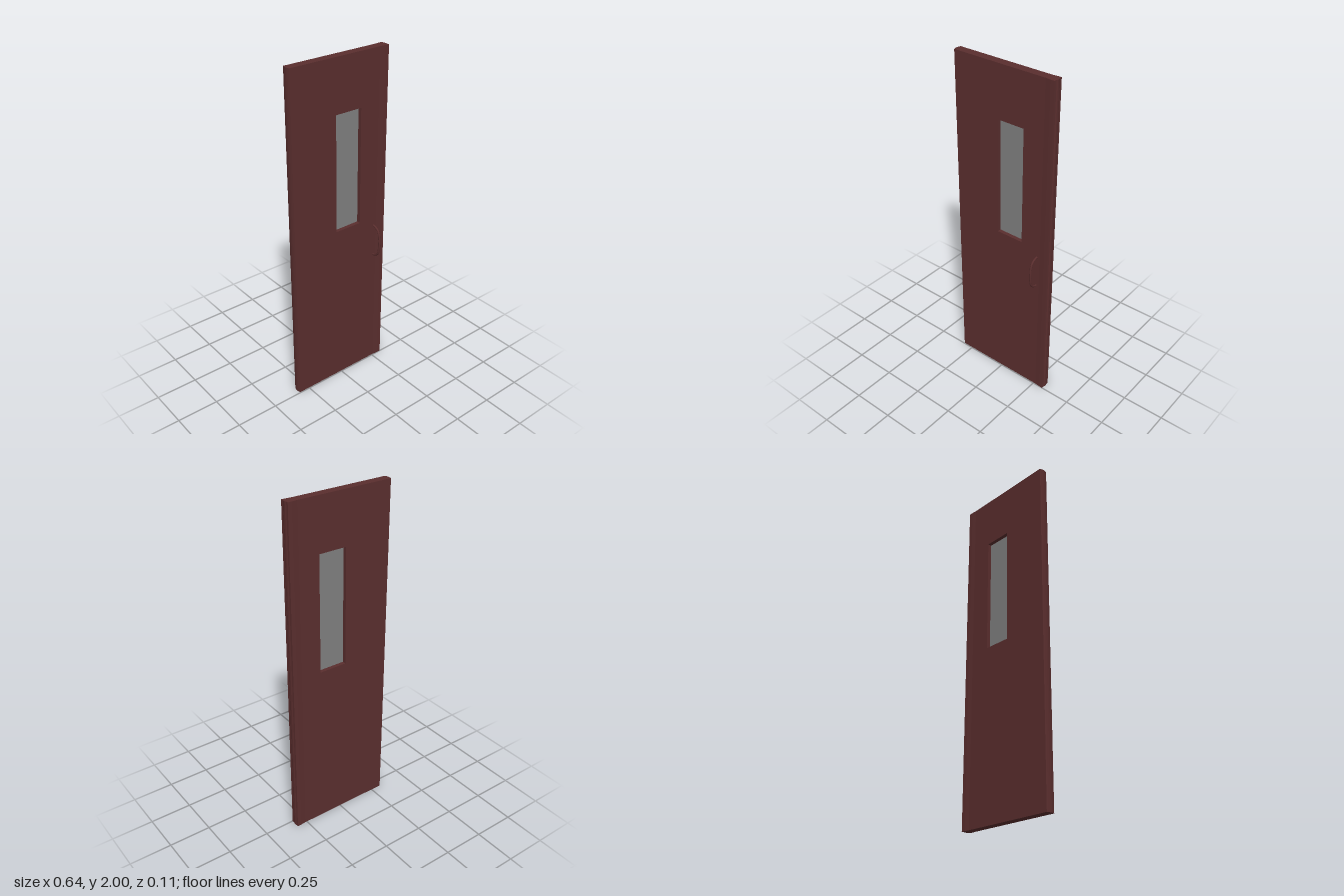
import * as THREE from 'three';

const H = 2, BACK = -0.054, FRONT = -0.004;
const JOIN_L = -0.3, JOIN_R = 0.262;

// Drops the hidden walls where the door pieces meet
function openJoins(geo) {
  const src = geo.attributes.position, kept = [];
  for (let i = 0; i < src.count; i += 3) {
    const hidden = [JOIN_L, JOIN_R].some(x => [0, 1, 2].every(k => Math.abs(src.getX(i + k) - x) < 1e-5));
    if (hidden) continue;
    for (let k = 0; k < 3; k++) kept.push(src.getX(i + k), src.getY(i + k), src.getZ(i + k));
  }
  const out = new THREE.BufferGeometry();
  out.setAttribute('position', new THREE.Float32BufferAttribute(kept, 3));
  out.computeVertexNormals();
  return out;
}

// Upright strip from a plan profile of [x, z] points
function strip(profile) {
  const shape = new THREE.Shape(profile.map(([x, z]) => new THREE.Vector2(x, -z)));
  const geo = new THREE.ExtrudeGeometry(shape, { depth: H, bevelEnabled: false });
  geo.rotateX(-Math.PI / 2);
  return openJoins(geo);
}

function rect(Type, x0, y0, x1, y1) {
  return new Type([[x0, y0], [x1, y0], [x1, y1], [x0, y1]].map(p => new THREE.Vector2(...p)));
}

export function createModel() {
  const group = new THREE.Group();
  const wood = new THREE.MeshStandardMaterial({ color: 0x5a2e2e });
  const pane = new THREE.MeshStandardMaterial({ color: 0x808080 });
  const add = (name, geo, mat) => {
    const mesh = new THREE.Mesh(geo, mat);
    mesh.name = name;
    group.add(mesh);
    return mesh;
  };

  // Main panel with window opening
  const win = { x0: -0.032, x1: 0.137, y0: 1.005, y1: 1.695 };
  const face = rect(THREE.Shape, JOIN_L, 0, JOIN_R, H);
  face.holes.push(rect(THREE.Path, win.x0, win.y0, win.x1, win.y1));
  const panel = new THREE.ExtrudeGeometry(face, { depth: FRONT - BACK, bevelEnabled: false });
  panel.translate(0, 0, BACK);
  add('doorPanel', openJoins(panel), wood);

  // Rounded hinge edge
  add('hingeEdge', strip([
    [JOIN_L, FRONT], [-0.316, FRONT], [-0.319, -0.014], [-0.321, -0.024],
    [-0.321, -0.034], [-0.319, -0.045], [-0.316, BACK], [JOIN_L, BACK],
  ]), wood);

  // Slightly thicker latch edge
  add('latchEdge', strip([
    [JOIN_R, FRONT], [JOIN_R, BACK], [0.292, -0.057], [0.317, -0.057], [0.317, -0.044],
    [0.32, -0.036], [0.32, -0.024], [0.317, -0.016], [0.317, 0], [0.292, -0.001],
  ]), wood);

  // Glass in the middle of the opening
  const glass = add('windowGlass',
    new THREE.BoxGeometry(win.x1 - win.x0, win.y1 - win.y0, 0.005), pane);
  glass.position.set((win.x0 + win.x1) / 2, (win.y0 + win.y1) / 2, (FRONT + BACK) / 2);

  // Bowed pull handle
  const path = new THREE.CatmullRomCurve3([
    [0.757, -0.006], [0.762, 0.014], [0.778, 0.036], [0.81, 0.047],
    [0.897, 0.047], [0.93, 0.036], [0.946, 0.014], [0.951, -0.006],
  ].map(([y, z]) => new THREE.Vector3(0.243, y, z)));
  add('handle', new THREE.TubeGeometry(path, 40, 0.0063, 10), wood);

  return group;
}
